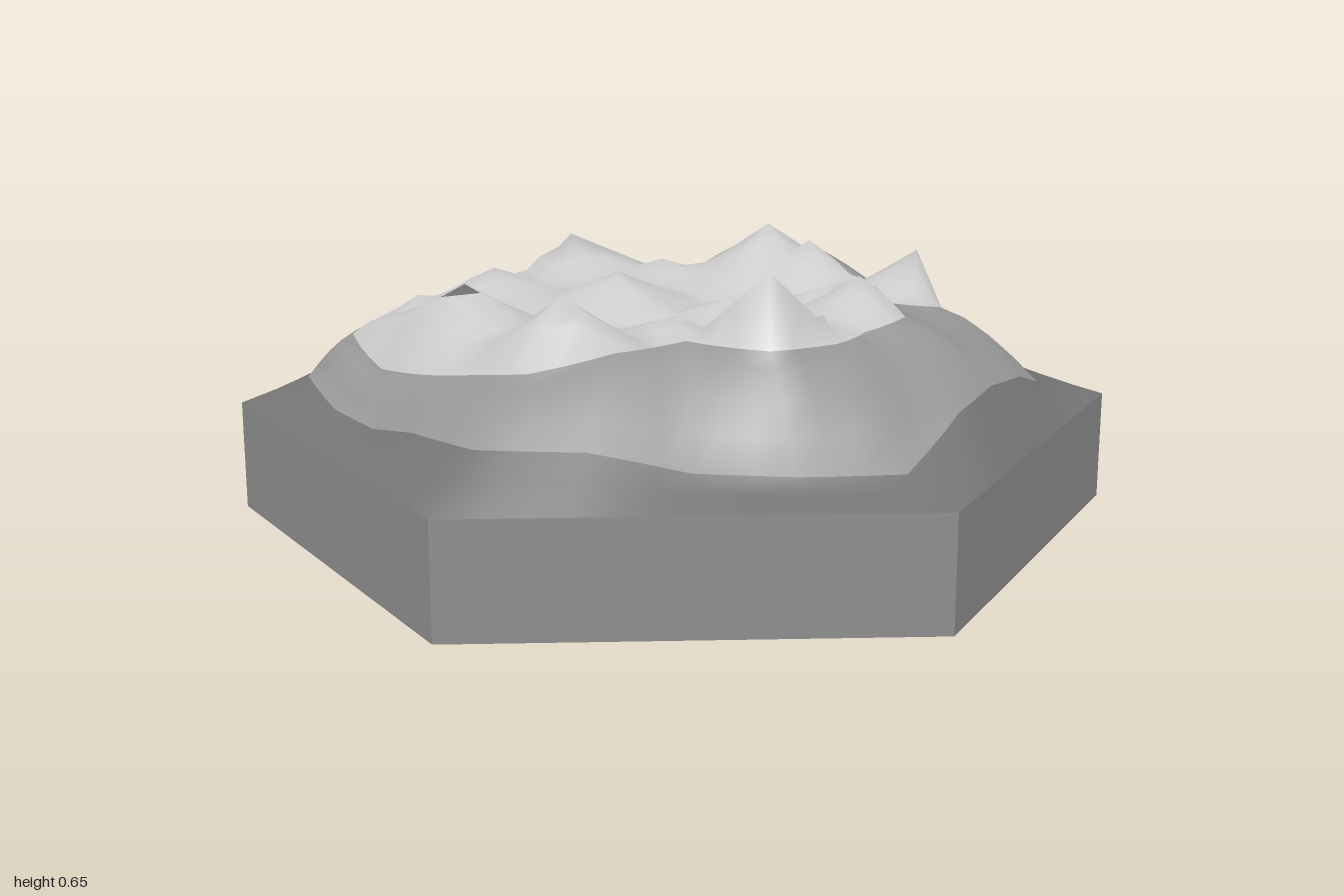
import * as THREE from 'three';

const SEGMENTS = 72;
const FLOOR = 0.43;

// Summits: x, z, height, reach
const PEAKS = [
  [0.41, 0.38, 0.65, 0.27], [0, 0.5, 0.585, 0.25], [-0.33, 0.37, 0.555, 0.25],
  [-0.55, 0.42, 0.46, 0.15], [-0.62, 0.14, 0.46, 0.2], [-0.2, -0.08, 0.52, 0.22],
  [-0.56, -0.1, 0.49, 0.2], [-0.54, -0.44, 0.525, 0.26], [0, -0.5, 0.585, 0.26],
  [0.13, -0.46, 0.56, 0.2], [0.44, -0.38, 0.575, 0.25], [0.45, 0, 0.58, 0.28],
  [0.11, -0.06, 0.49, 0.2], [-0.25, -0.4, 0.49, 0.2], [0.08, 0.2, 0.49, 0.18],
  [0.45, 0.19, 0.53, 0.2], [0.27, -0.2, 0.5, 0.2],
];

// Tables run every 15 degrees, from +x towards +z
const SNOW_RADIUS = [0.56, 0.54, 0.61, 0.63, 0.49, 0.57, 0.64, 0.62, 0.63, 0.68, 0.74, 0.68,
  0.68, 0.63, 0.73, 0.74, 0.67, 0.56, 0.63, 0.53, 0.5, 0.66, 0.61, 0.46];
const SNOW_HEIGHT = [0.5, 0.49, 0.5, 0.505, 0.5, 0.49, 0.45, 0.42, 0.39, 0.37, 0.41, 0.43,
  0.42, 0.44, 0.43, 0.42, 0.4, 0.42, 0.47, 0.53, 0.49, 0.42, 0.46, 0.5];
const FOOT_HEIGHT = [0.37, 0.36, 0.285, 0.29, 0.3, 0.345, 0.345, 0.33, 0.29, 0.285, 0.31, 0.33,
  0.32, 0.33, 0.305, 0.3, 0.3, 0.3, 0.3, 0.31, 0.31, 0.31, 0.28, 0.345];

const mix = THREE.MathUtils.lerp;

function sample(table, j) {
  const s = j / SEGMENTS * table.length;
  const i = Math.floor(s);
  return mix(table[i], table[(i + 1) % table.length], s - i);
}

// Rolling snowfield with cones, meeting the snow line at t = 1
function snowfieldHeight(x, z, t, lineHeight) {
  let h = mix(FLOOR, lineHeight, t ** 3);
  if (t === 1) return h;
  for (const [px, pz, top, reach] of PEAKS) {
    const c = 1 - Math.hypot(x - px, z - pz) / reach;
    if (c > 0) h = Math.max(h, FLOOR + (top - FLOOR) * c ** 1.15);
  }
  return h;
}

// Point on spoke j, at fraction t across the band
function terrainPoint(band, t, j) {
  const angle = j / SEGMENTS * Math.PI * 2;
  const cx = Math.cos(angle), cz = Math.sin(angle);
  const apothem = Math.sqrt(3) / 2;
  const edge = apothem / Math.max(Math.abs(cx), Math.abs(cx) / 2 + Math.abs(cz) * apothem);
  // The foot line is rounded off at the six corners
  const foot = edge * 0.875 - 0.3 * Math.max(0, edge - 0.9);
  const stops = [0, sample(SNOW_RADIUS, j), foot, edge];
  const r = mix(stops[band], stops[band + 1], t);
  const snowLine = sample(SNOW_HEIGHT, j), footLine = sample(FOOT_HEIGHT, j);
  const x = cx * r, z = cz * r;
  let y = mix(footLine, 0.25, t);
  if (band === 0) y = snowfieldHeight(x, z, t, snowLine);
  if (band === 1) y = mix(snowLine, footLine, t ** 1.4);
  return new THREE.Vector3(x, y, z);
}

export function createModel() {
  const group = new THREE.Group();
  const material = (color, flatShading = false) => new THREE.MeshStandardMaterial({ color, flatShading });

  // Hexagonal plinth
  const base = new THREE.Mesh(new THREE.CylinderGeometry(1, 1, 0.25, 6), material(0x8e8e8e, true));
  base.name = 'hexagonalBase';
  base.position.y = 0.125;
  group.add(base);

  // Bands of rings: snow cap, rocky slope, foot of the mountain
  const bands = [
    { name: 'snowCap', rings: 10, color: 0xcccccc },
    { name: 'rockySlope', rings: 4, color: 0x999999 },
    { name: 'mountainFoot', rings: 2, color: 0x757575 },
  ];
  const points = [];
  const addRing = (band, t) => {
    for (let j = 0; j < SEGMENTS; j++) points.push(terrainPoint(band, t, j));
  };
  addRing(0, 0);
  bands.forEach((b, band) => {
    for (let k = 1; k <= b.rings; k++) addRing(band, k / b.rings);
  });

  // Pull the nearest snow point onto each summit so it stays sharp
  const snowPoints = points.slice(SEGMENTS, bands[0].rings * SEGMENTS);
  for (const [px, pz, top] of PEAKS) {
    const distance = (p) => Math.hypot(p.x - px, p.z - pz);
    snowPoints.reduce((m, p) => (distance(p) < distance(m) ? p : m)).set(px, top, pz);
  }

  // Triangles of each band over the shared points
  let ring = 0;
  for (const b of bands) {
    b.index = [];
    for (let k = 0; k < b.rings; k++, ring++) {
      for (let j = 0; j < SEGMENTS; j++) {
        const n = (j + 1) % SEGMENTS;
        const a = ring * SEGMENTS + j, c = ring * SEGMENTS + n;
        const d = a + SEGMENTS, e = c + SEGMENTS;
        b.index.push(a, e, d);
        if (ring > 0) b.index.push(a, c, e);
      }
    }
  }
  const whole = new THREE.BufferGeometry().setFromPoints(points);
  whole.setIndex(bands.flatMap((b) => b.index));
  whole.computeVertexNormals();

  for (const b of bands) {
    const geometry = new THREE.BufferGeometry();
    geometry.setAttribute('position', whole.getAttribute('position'));
    geometry.setAttribute('normal', whole.getAttribute('normal'));
    geometry.setIndex(b.index);
    const mesh = new THREE.Mesh(geometry, material(b.color));
    mesh.name = b.name;
    group.add(mesh);
  }
  return group;
}
